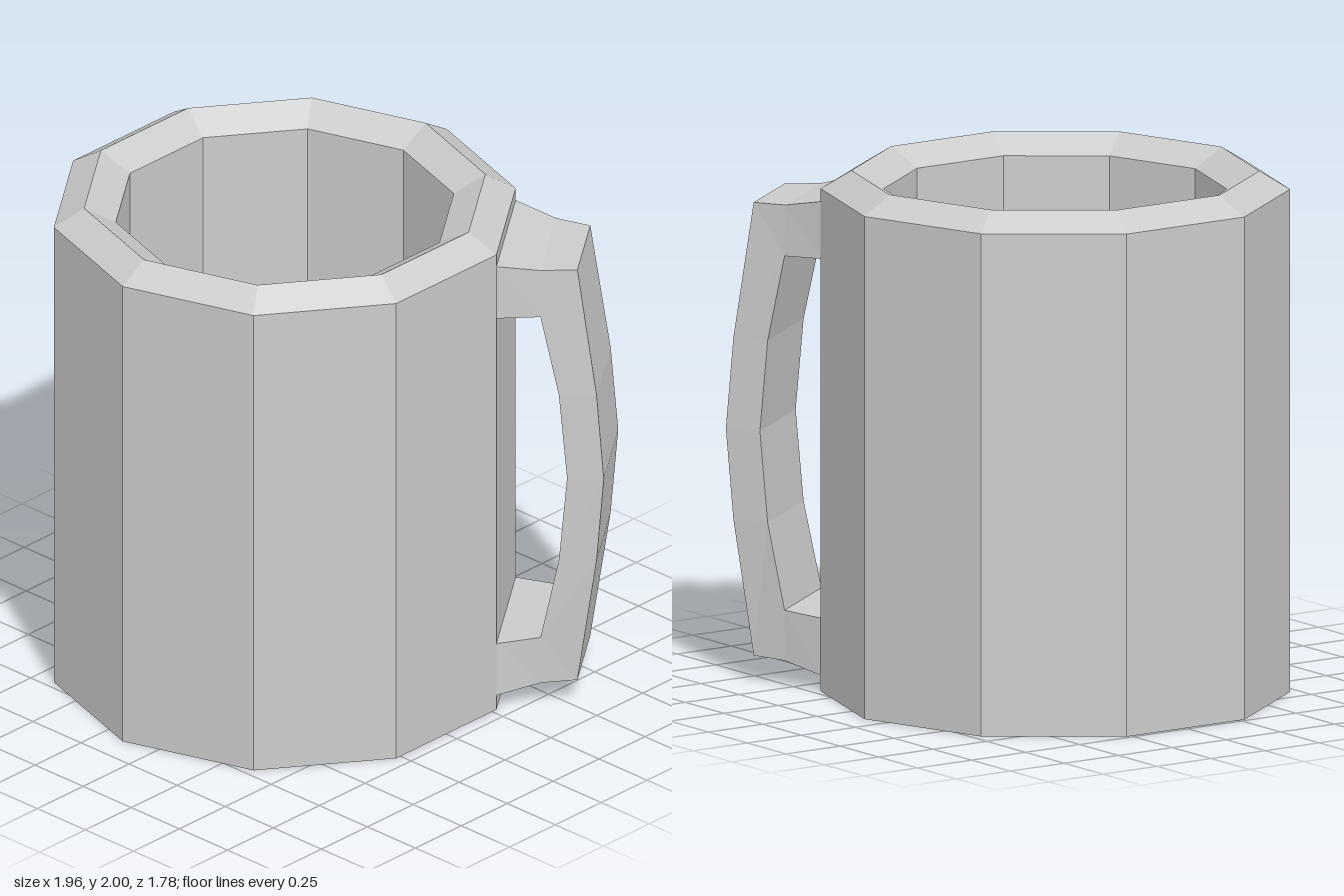
import * as THREE from 'three';

const SIDES = 10;
const RADIUS = 0.883;
const MID_Y = 0.97;

// Handle cross-sections from the upper root to mid-height:
// outer reach, outer height, inner reach, inner height, outer half width, inner half width
const UPPER = [
  [0.838, 1.88, 0.838, 1.66, 0.273, 0.273],
  [1.0, 1.845, 1.0, 1.65, 0.215, 0.22],
  [1.135, 1.84, 1.0, 1.65, 0.182, 0.22],
  [1.21, 1.32, 1.069, 1.32, 0.198, 0.214],
  [1.238, MID_Y, 1.1, MID_Y, 0.204, 0.213],
];

function handleGeometry() {
  // Mirror the upper half about mid-height for the lower half
  const lower = UPPER.slice(0, -1).reverse().map(([a, ya, b, yb, wa, wb]) =>
    [a, 2 * MID_Y - ya, b, 2 * MID_Y - yb, wa, wb]);
  const stations = [...UPPER, ...lower];

  const positions = [];
  for (const [a, ya, b, yb, wa, wb] of stations) {
    positions.push(a, ya, -wa, a, ya, wa, b, yb, wb, b, yb, -wb);
  }

  const index = [];
  const same = (p, q) => [0, 1, 2].every(k => positions[p * 3 + k] === positions[q * 3 + k]);
  for (let s = 0; s < stations.length - 1; s++) {
    for (let i = 0; i < 4; i++) {
      const a = s * 4 + i, b = s * 4 + (i + 1) % 4, c = b + 4, d = a + 4;
      if (!same(b, c)) index.push(a, b, c);
      if (!same(a, d)) index.push(a, c, d);
    }
  }

  const geometry = new THREE.BufferGeometry();
  geometry.setAttribute('position', new THREE.Float32BufferAttribute(positions, 3));
  geometry.setIndex(index);
  const flat = geometry.toNonIndexed();
  flat.computeVertexNormals();
  return flat;
}

export function createModel() {
  const material = new THREE.MeshStandardMaterial({ color: 0xcccccc, flatShading: true });
  const mug = new THREE.Group();
  mug.name = 'mug';
  mug.position.x = -0.145;

  // Ten-sided cup: base, outer wall, two-sided bevelled rim, inner wall and floor
  const profile = [
    [0, 0], [RADIUS, 0], [RADIUS, 1.93], [0.767, 2], [0.646, 1.93], [0.646, 0.12], [0, 0.12],
  ].map(([r, y]) => new THREE.Vector2(r, y));
  const cup = new THREE.Mesh(new THREE.LatheGeometry(profile, SIDES), material);
  cup.name = 'cup';
  mug.add(cup);

  // Handle fills one facet of the cup, towards the back left
  const handle = new THREE.Mesh(handleGeometry(), material);
  handle.name = 'handle';
  handle.rotation.y = Math.PI * 2 / SIDES;
  mug.add(handle);

  const model = new THREE.Group();
  model.name = 'model';
  model.add(mug);
  return model;
}
